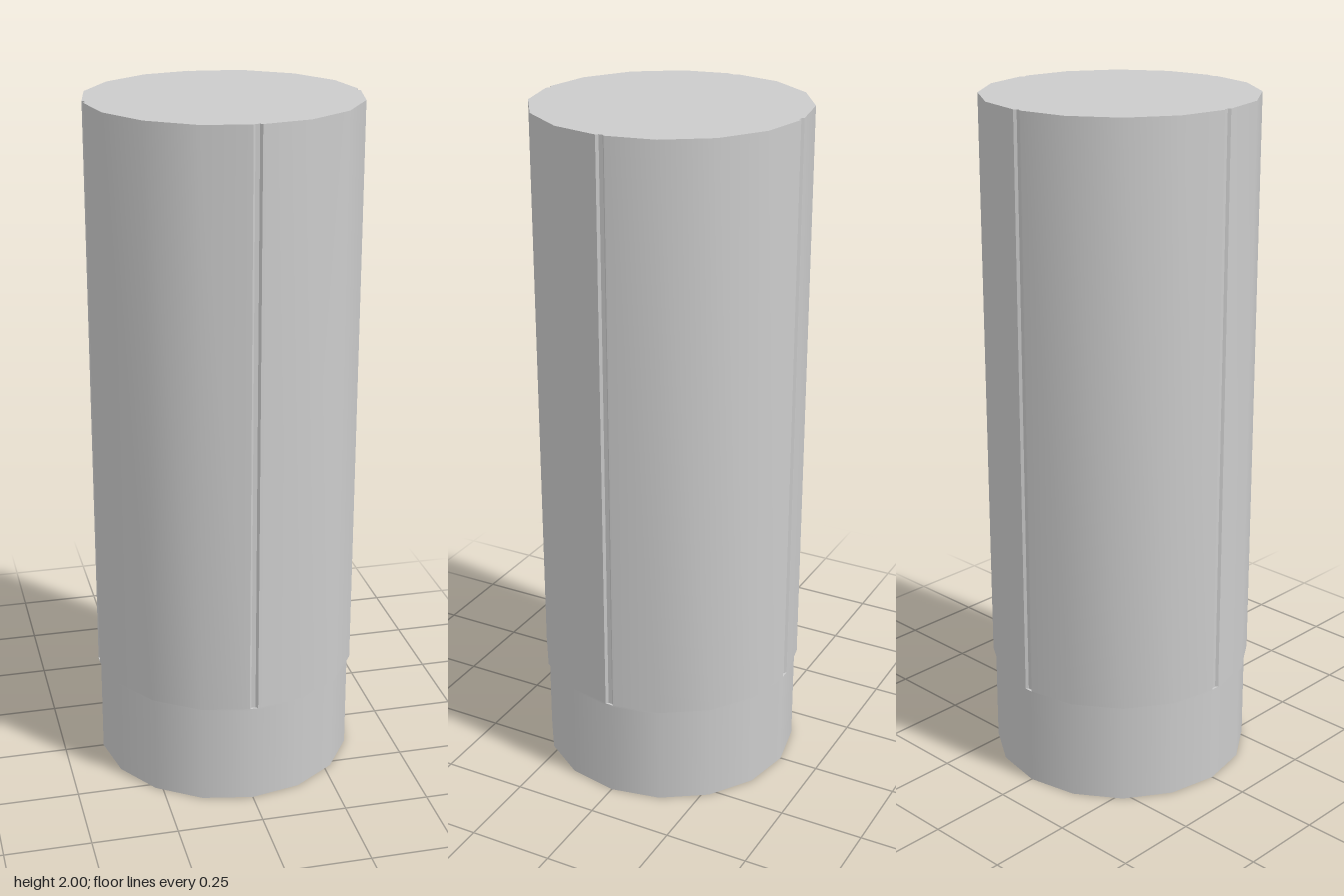
import * as THREE from 'three';
import { toCreasedNormals } from 'three/addons/utils/BufferGeometryUtils.js';

const SIDES = 16, RADIUS = 0.39, BASE_RADIUS = 0.382, STEP = 0.3, HEIGHT = 2;
const MOUTH = 0.0125, FLOOR = 0.006, FLOOR_RADIUS = 0.381;

// 16-sided outline; each quarter starts at a groove (or a flat when grooves are off)
function outline(grooved) {
  const mouthRadius = RADIUS - MOUTH * Math.tan(Math.PI / SIDES);
  const pts = [];
  for (let q = 0; q < 4; q++) {
    const turn = q * Math.PI / 2, centre = new THREE.Vector2();
    const add = (x, y) => pts.push(new THREE.Vector2(x, y).rotateAround(centre, turn));
    add(mouthRadius, -MOUTH);
    if (grooved) {
      add(FLOOR_RADIUS, -FLOOR);
      add(FLOOR_RADIUS, FLOOR);
    }
    add(mouthRadius, MOUTH);
    for (let i = 1; i < SIDES / 4; i++) {
      const a = i * 2 * Math.PI / SIDES;
      add(RADIUS * Math.cos(a), RADIUS * Math.sin(a));
    }
  }
  return new THREE.Shape(pts);
}

// Upright prism from an outline, smooth around and sharp at the rims
function prism(shape, y0, y1) {
  const g = new THREE.ExtrudeGeometry(shape, { depth: y1 - y0, bevelEnabled: false });
  g.rotateX(-Math.PI / 2).translate(0, y0, 0);
  return toCreasedNormals(g, 0.5);
}

export function createModel() {
  const group = new THREE.Group();
  group.name = 'groovedCylinder';
  const material = new THREE.MeshStandardMaterial({ color: 0xcccccc });
  const add = (name, geometry) => {
    const mesh = new THREE.Mesh(geometry, material);
    mesh.name = name;
    group.add(mesh);
  };

  // Narrower foot
  const foot = new THREE.CylinderGeometry(BASE_RADIUS, BASE_RADIUS, STEP, SIDES);
  add('foot', foot.translate(0, STEP / 2, 0));

  // Thin lip closing the lower ends of the grooves
  add('lip', prism(outline(false), STEP, STEP + 0.004));

  // Main body with four vertical grooves
  add('body', prism(outline(true), STEP + 0.004, HEIGHT));
  return group;
}
